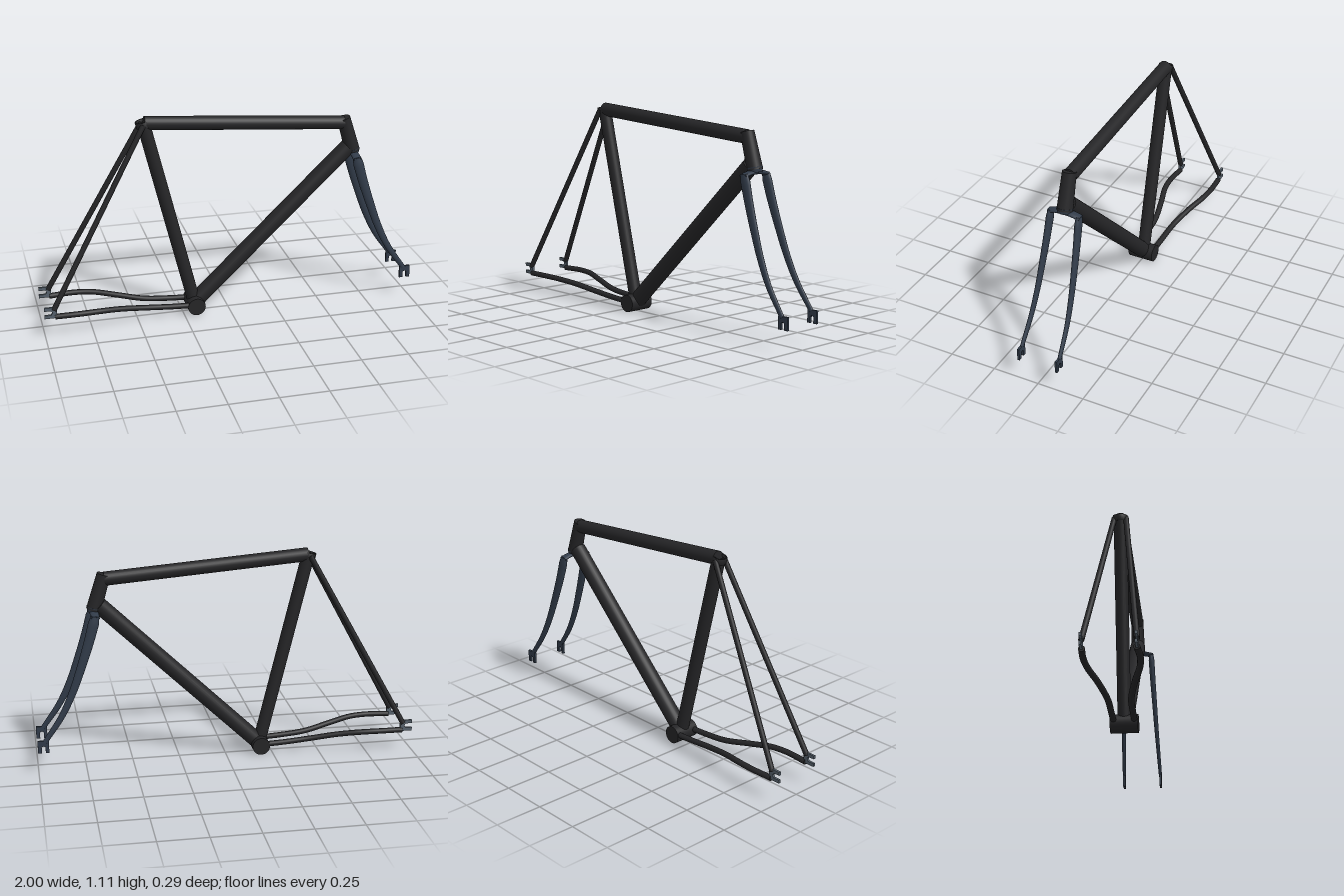
import * as THREE from 'three';

const V = (x, y, z) => new THREE.Vector3(x, y, z);
const frameMat = new THREE.MeshStandardMaterial({ color: 0x252527 });
const forkMat = new THREE.MeshStandardMaterial({ color: 0x313b49 });
const metalMat = new THREE.MeshStandardMaterial({ color: 0x56616c });

// Capped oval tube along a smooth path; radii(t) gives [in-plane, sideways] radius
function loft(points, radii, steps = 24, ref = V(0, 0, 1), sides = 24) {
  const curve = new THREE.CatmullRomCurve3(points);
  const pos = [], idx = [];
  const ring = (t) => {
    const c = curve.getPointAt(t), tan = curve.getTangentAt(t);
    const s = ref.clone().addScaledVector(tan, -ref.dot(tan)).normalize();
    const n = s.clone().cross(tan);
    const [a, b] = radii(t);
    for (let j = 0; j < sides; j++) {
      const q = (j / sides) * Math.PI * 2;
      const p = c.clone().addScaledVector(n, a * Math.cos(q)).addScaledVector(s, b * Math.sin(q));
      pos.push(p.x, p.y, p.z);
    }
  };
  for (let i = 0; i <= steps; i++) ring(i / steps);
  for (let i = 0; i < steps; i++) for (let j = 0; j < sides; j++) {
    const k = (j + 1) % sides, a = i * sides, b = a + sides;
    idx.push(a + j, a + k, b + k, a + j, b + k, b + j);
  }
  // end caps on their own rings, so the rims stay sharp
  for (const t of [0, 1]) {
    const o = pos.length / 3;
    ring(t);
    for (let j = 1; j < sides - 1; j++) idx.push(o, ...(t ? [o + j, o + j + 1] : [o + j + 1, o + j]));
  }
  const g = new THREE.BufferGeometry();
  g.setAttribute('position', new THREE.Float32BufferAttribute(pos, 3));
  g.setIndex(idx);
  g.computeVertexNormals();
  return g;
}

const straight = (a, b, r0, r1 = r0) => loft([a, b], (t) => {
  const r = r0 + (r1 - r0) * t;
  return [r, r];
}, 1);

// Flat slotted plate, centred on z = 0
function plate(corners, depth) {
  const shape = new THREE.Shape(corners.map(([x, y]) => new THREE.Vector2(x, y)));
  return new THREE.ExtrudeGeometry(shape, { depth, bevelEnabled: false }).translate(0, 0, -depth / 2);
}

export function createModel() {
  const model = new THREE.Group();
  const add = (name, geo, mat = frameMat) => {
    const m = new THREE.Mesh(geo, mat);
    m.name = name;
    model.add(m);
    return m;
  };

  // Main triangle
  const bottom = V(-0.185, 0.047, 0), seatTop = V(-0.437, 1.07, 0);
  const headTop = V(0.626, 1.02, 0), headLow = V(0.681, 0.835, 0);
  add('seatTube', straight(bottom, seatTop, 0.034));
  add('topTube', straight(V(-0.435, 1.077, 0), V(0.625, 0.995, 0), 0.036));
  add('downTube', straight(bottom, V(0.655, 0.858, 0), 0.043));
  add('headTube', straight(headLow, headTop, 0.04, 0.035));
  add('bottomBracket', new THREE.CylinderGeometry(0.047, 0.047, 0.14, 32).rotateX(Math.PI / 2).translate(-0.185, 0.047, 0));

  // Open collar on top of the seat tube
  const collar = add('seatCollar', new THREE.LatheGeometry(
    [[0.028, -0.02], [0.038, -0.02], [0.038, 0.012], [0.028, 0.012], [0.028, -0.02]].map(([x, y]) => new THREE.Vector2(x, y)), 28));
  collar.material = frameMat.clone();
  collar.material.side = THREE.DoubleSide;
  collar.position.set(-0.441, 1.077, 0);
  collar.rotation.z = 0.24;

  // Fork crown, seat and neck under the head tube
  add('forkCrown', loft([V(0.681, 0.812, -0.085), V(0.682, 0.823, -0.045), V(0.682, 0.826, 0), V(0.682, 0.823, 0.045), V(0.681, 0.812, 0.085)],
    () => [0.023, 0.011], 20, V(0, 1, 0)), forkMat);
  add('crownRace', straight(V(0.683, 0.822, 0), V(0.677, 0.848, 0), 0.034, 0.041), forkMat);

  for (const s of [1, -1]) {
    const side = s > 0 ? 'left' : 'right';

    // Rear stays
    add(side + 'SeatStay', straight(V(-0.443, 1.075, s * 0.03), V(-0.95, 0.152, s * 0.125), 0.014));
    add(side + 'ChainStay', loft([
      V(-0.185, 0.052, s * 0.052), V(-0.32, 0.059, s * 0.053), V(-0.45, 0.071, s * 0.057),
      V(-0.6, 0.097, s * 0.088), V(-0.72, 0.113, s * 0.12), V(-0.82, 0.116, s * 0.13), V(-0.945, 0.113, s * 0.124),
    ], () => [0.0145, 0.0155], 40));

    // Rear dropout, slot open to the back
    add(side + 'RearDropout', plate([
      [-1, 0.108], [-0.935, 0.108], [-0.935, 0.168], [-1, 0.168],
      [-1, 0.15], [-0.965, 0.15], [-0.958, 0.138], [-0.965, 0.126], [-1, 0.126],
    ], 0.012), metalMat).position.z = s * 0.125;

    // Curved, tapering oval fork blade
    add(side + 'ForkBlade', loft([
      V(0.681, 0.818, s * 0.076), V(0.717, 0.69, s * 0.081), V(0.76, 0.56, s * 0.087),
      V(0.81, 0.425, s * 0.093), V(0.87, 0.302, s * 0.099), V(0.962, 0.168, s * 0.105),
    ], (t) => {
      const k = Math.min(1, 0.75 + t * 5);
      return [k * (0.029 - 0.016 * t), k * (0.017 - 0.008 * t)];
    }, 40), forkMat);

    // Front dropout, slot open downward
    add(side + 'FrontDropout', plate([
      [0.942, 0.11], [0.96, 0.11], [0.96, 0.142], [0.97, 0.149], [0.98, 0.142],
      [0.98, 0.11], [1, 0.11], [1, 0.176], [0.942, 0.176],
    ], 0.012), forkMat).position.z = s * 0.105;
  }
  return model;
}
